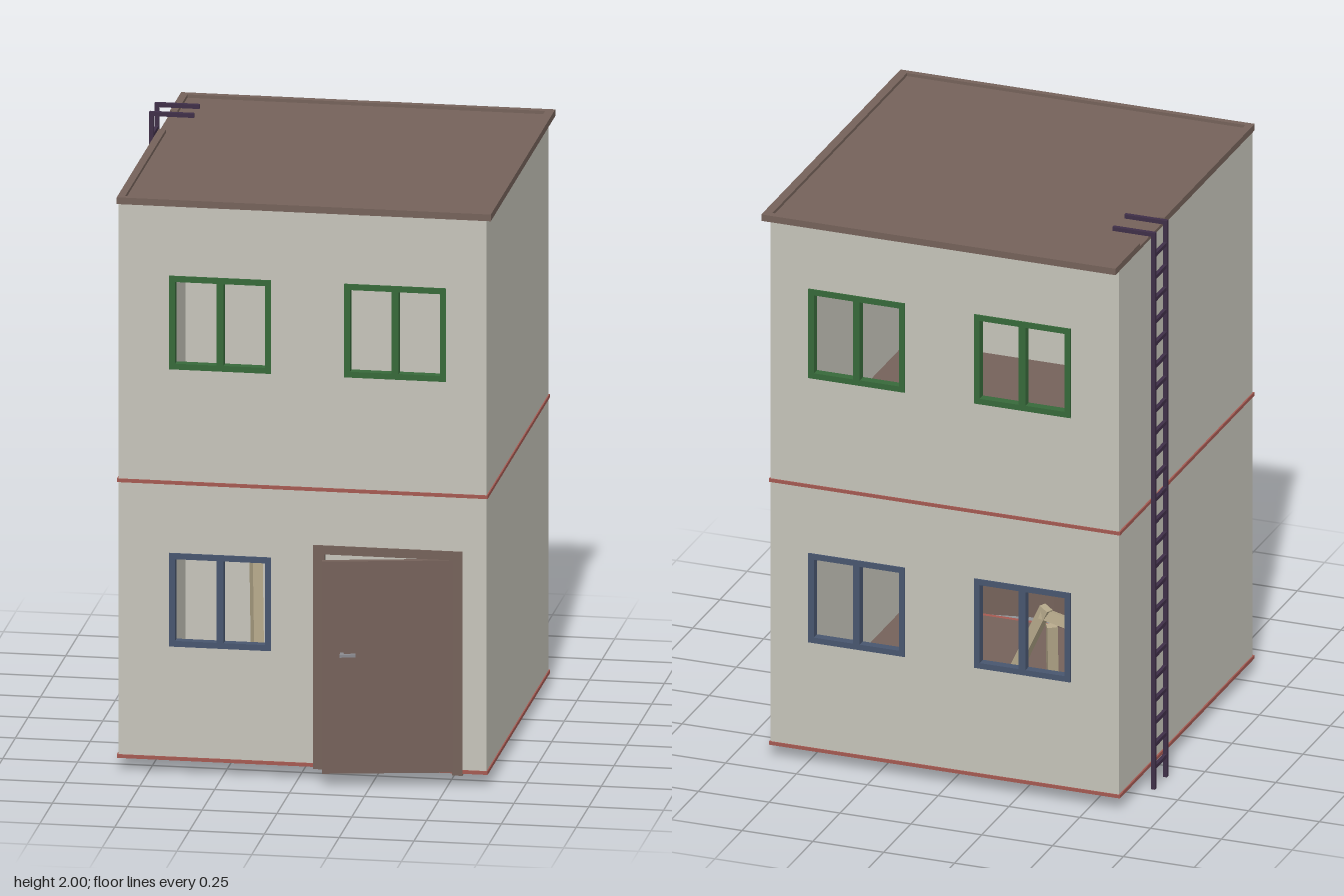
import * as THREE from 'three';

const mat = (color) => new THREE.MeshStandardMaterial({ color, flatShading: true });
const M = {
  wall: mat(0xc6c4ba), brown: mat(0x75625a), trim: mat(0xa55a52), green: mat(0x37693a),
  blue: mat(0x48566f), ladder: mat(0x3f2f48), wood: mat(0xb5a88a), metal: mat(0x8a8a90),
};

// Box given by its min and max corners
function box(parent, name, material, x0, x1, y0, y1, z0, z1) {
  const m = new THREE.Mesh(new THREE.BoxGeometry(x1 - x0, y1 - y0, z1 - z0), material);
  m.position.set((x0 + x1) / 2, (y0 + y1) / 2, (z0 + z1) / 2);
  m.name = name;
  parent.add(m);
  return m;
}

// Square beam between two points
function beam(parent, name, material, a, b, w, d) {
  const p = new THREE.Vector3(...a), q = new THREE.Vector3(...b);
  const m = new THREE.Mesh(new THREE.BoxGeometry(w, p.distanceTo(q), d), material);
  m.position.copy(p).add(q).multiplyScalar(0.5);
  m.quaternion.setFromUnitVectors(new THREE.Vector3(0, 1, 0), q.sub(p).normalize());
  m.name = name;
  parent.add(m);
}

function rectPath(PathType, x0, x1, y0, y1) {
  const p = new PathType();
  p.moveTo(x0, y0).lineTo(x1, y0).lineTo(x1, y1).lineTo(x0, y1).closePath();
  return p;
}

const X0 = -0.6, X1 = 0.63, Z0 = -0.65, Z1 = 0.58, T = 0.02;
const LEFT = [-0.43, -0.09], RIGHT = [0.155, 0.495];
const LOW = [0.435, 0.755], HIGH = [1.385, 1.705];

// Wall with rectangular openings
function piercedWall(parent, name, z, openings) {
  const s = rectPath(THREE.Shape, X0, X1, 0.045, 1.945);
  for (const o of openings) s.holes.push(rectPath(THREE.Path, ...o));
  const m = new THREE.Mesh(new THREE.ExtrudeGeometry(s, { depth: T, bevelEnabled: false }), M.wall);
  m.position.z = z;
  m.name = name;
  parent.add(m);
}

// Rectangular frame with a central mullion
function windowFrame(parent, name, material, [x0, x1], [y0, y1], z) {
  const s = rectPath(THREE.Shape, x0, x1, y0, y1);
  const w = 0.02, c = (x0 + x1) / 2;
  s.holes.push(rectPath(THREE.Path, x0 + w, c - 0.012, y0 + w, y1 - w));
  s.holes.push(rectPath(THREE.Path, c + 0.012, x1 - w, y0 + w, y1 - w));
  const m = new THREE.Mesh(new THREE.ExtrudeGeometry(s, { depth: T + 0.01, bevelEnabled: false }), material);
  m.position.z = z - 0.005;
  m.name = name;
  parent.add(m);
}

export function createModel() {
  const house = new THREE.Group();
  house.name = 'house';

  // Walls
  const windows = [[LEFT, LOW], [LEFT, HIGH], [RIGHT, HIGH]].map(([a, b]) => [...a, ...b]);
  piercedWall(house, 'frontWall', Z1 - T, [...windows, [0.09, 0.515, 0.05, 0.78]]);
  piercedWall(house, 'backWall', Z0, [...windows, [...RIGHT, ...LOW]]);
  box(house, 'rightWall', M.wall, X0, X0 + T, 0.045, 1.945, Z0 + T, Z1 - T);
  box(house, 'leftWall', M.wall, X1 - T, X1, 0.045, 1.945, Z0 + T, Z1 - T);

  // Floor slabs showing as thin bands outside, with brown floor covering
  for (const y of [0.045, 0.99]) {
    box(house, 'floorSlab', M.trim, X0 - 0.005, X1 + 0.004, y, y + 0.012, Z0 - 0.004, Z1 + 0.004);
    box(house, 'floorCovering', M.brown, X0 + T, X1 - T, y + 0.012, y + 0.016, Z0 + T, Z1 - T);
  }

  // Window frames
  for (const z of [Z1 - T, Z0]) {
    windowFrame(house, 'upperWindow', M.green, LEFT, HIGH, z);
    windowFrame(house, 'upperWindow', M.green, RIGHT, HIGH, z);
    windowFrame(house, 'lowerWindow', M.blue, LEFT, LOW, z);
  }
  windowFrame(house, 'lowerWindow', M.blue, RIGHT, LOW, Z0);

  // Flat roof with a low rim, open at the ladder
  const roof = new THREE.Group();
  roof.name = 'roof';
  house.add(roof);
  const r = { x0: -0.605, x1: 0.645, z0: -0.695, z1: 0.585 };
  box(roof, 'roofPlate', M.brown, r.x0, r.x1, 1.943, 1.955, r.z0, r.z1);
  box(roof, 'frontRim', M.brown, r.x0, r.x1, 1.955, 1.966, r.z1 - 0.02, r.z1);
  box(roof, 'backRim', M.brown, r.x0, r.x1, 1.955, 1.966, r.z0, r.z0 + 0.025);
  box(roof, 'leftRim', M.brown, r.x1 - 0.03, r.x1, 1.955, 1.966, r.z0 + 0.025, r.z1 - 0.02);
  box(roof, 'rightRim', M.brown, r.x0, r.x0 + 0.025, 1.955, 1.966, r.z0 + 0.025, -0.47);
  box(roof, 'rightRim', M.brown, r.x0, r.x0 + 0.025, 1.955, 1.966, -0.245, r.z1 - 0.02);

  // Door frame
  box(house, 'doorJamb', M.brown, 0.05, 0.09, 0.038, 0.805, Z1 - T - 0.005, Z1 + 0.005);
  box(house, 'doorJamb', M.brown, 0.515, 0.55, 0.038, 0.805, Z1 - T - 0.005, Z1 + 0.005);
  box(house, 'doorLintel', M.brown, 0.09, 0.515, 0.775, 0.805, Z1 - T - 0.005, Z1 + 0.005);

  // Door ajar on its hinge, with a handle on each face
  const door = new THREE.Group();
  door.name = 'door';
  door.position.set(0.52, 0, 0.575);
  door.rotation.y = 0.2;
  house.add(door);
  box(door, 'doorLeaf', M.brown, -0.435, 0, 0.048, 0.775, -0.01, 0.01);
  for (const s of [1, -1]) {
    const handle = new THREE.Group();
    handle.name = 'doorHandle';
    handle.scale.z = 1;
    handle.rotation.x = s > 0 ? 0 : Math.PI;
    handle.position.set(-0.37, 0.457, 0);
    door.add(handle);
    box(handle, 'handleStem', M.metal, -0.006, 0.006, -0.006, 0.006, 0.01, 0.026);
    box(handle, 'handleGrip', M.metal, -0.008, 0.045, -0.005, 0.005, 0.022, 0.034);
  }

  // Ladder to the roof with hooked tops
  const ladder = new THREE.Group();
  ladder.name = 'ladder';
  house.add(ladder);
  for (const z of [-0.442, -0.333]) {
    box(ladder, 'ladderRail', M.ladder, -0.65, -0.636, 0, 2, z - 0.007, z + 0.007);
    box(ladder, 'ladderHook', M.ladder, -0.636, -0.5, 1.986, 2, z - 0.007, z + 0.007);
  }
  for (let i = 0; i < 24; i++) {
    const y = 0.07 + i * 0.08;
    box(ladder, 'ladderRung', M.ladder, -0.649, -0.637, y, y + 0.013, -0.435, -0.34);
  }

  // Leaning timbers by the back window
  const timbers = new THREE.Group();
  timbers.name = 'timbers';
  house.add(timbers);
  beam(timbers, 'timber', M.wood, [-0.32, 0.66, -0.59], [-0.13, 0.25, -0.56], 0.035, 0.03);
  beam(timbers, 'timber', M.wood, [-0.3, 0.64, -0.59], [-0.44, 0.59, -0.56], 0.035, 0.03);
  beam(timbers, 'timber', M.wood, [-0.34, 0.6, -0.59], [-0.32, 0.06, -0.52], 0.035, 0.03);

  // Low bench by the front window
  const bench = new THREE.Group();
  bench.name = 'bench';
  house.add(bench);
  box(bench, 'benchTop', M.wood, -0.57, -0.36, 0.15, 0.175, 0.22, 0.54);
  for (const x of [-0.56, -0.39]) for (const z of [0.23, 0.51]) {
    box(bench, 'benchLeg', M.wood, x, x + 0.02, 0.06, 0.15, z, z + 0.02);
  }
  return house;
}
